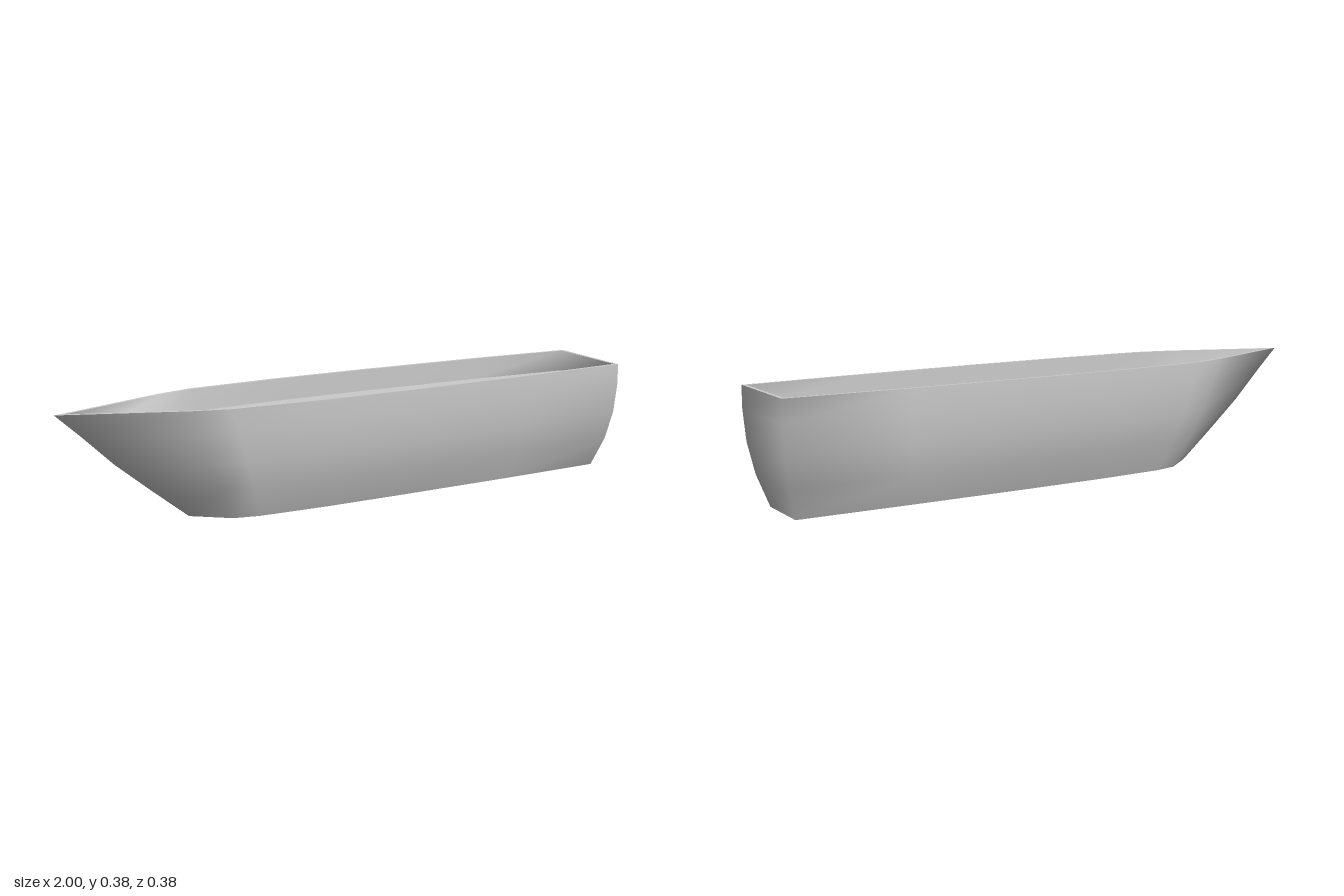
import * as THREE from 'three';

const FLOOR_Y = 0.3, RIM_Y = 0.375, WALL = 0.012;

// Half outlines [x, z] from bow tip to stern corner, at the keel and at the rim
const KEEL = [[-0.58, 0], [-0.465, 0.088], [-0.38, 0.106], [-0.15, 0.115], [0.15, 0.115], [0.55, 0.11], [0.945, 0.1]];
const RIM = [[-1, 0], [-0.62, 0.142], [-0.5, 0.174], [-0.2, 0.19], [0.15, 0.192], [0.6, 0.182], [1, 0.162]];

// Hull levels: height, progress of the raked bow, progress of the flared sides
const LEVELS = [[0, 0, 0], [0.1, 0.29, 0.56], [0.2, 0.57, 0.88], [FLOOR_Y, 0.81, 1], [RIM_Y, 1, 1]];

// Closed outline at one level, optionally inset by the wall thickness
function ring([y, bow, flare], inset = 0) {
  const mix = THREE.MathUtils.lerp;
  const half = KEEL.map(([kx, kz], i) => {
    const [rx, rz] = RIM[i];
    let x = mix(kx, rx, i < 4 ? bow : flare);
    let z = mix(kz, rz, flare);
    if (i === 0) x += inset * 2.8;
    else z -= inset;
    if (i === KEEL.length - 1) x -= inset;
    return new THREE.Vector3(x, y, z);
  });
  const mirrored = half.slice(1).reverse().map(p => new THREE.Vector3(p.x, p.y, -p.z));
  return [...half, ...mirrored];
}

function build(points, index) {
  const geometry = new THREE.BufferGeometry().setFromPoints(points);
  geometry.setIndex(index);
  geometry.computeVertexNormals();
  return geometry;
}

// Smooth skin through a stack of rings
function loft(rings) {
  const n = rings[0].length, index = [];
  for (let j = 0; j < rings.length - 1; j++) {
    for (let i = 0; i < n; i++) {
      const k = (i + 1) % n;
      const a = j * n + i, b = j * n + k, c = b + n, d = a + n;
      index.push(a, b, c, a, c, d);
    }
  }
  return build(rings.flat(), index);
}

// Flat fan closing a ring
function cap(points, up) {
  const n = points.length, index = [];
  for (let i = 0; i < n; i++) {
    const k = (i + 1) % n;
    index.push(n, up ? i : k, up ? k : i);
  }
  return build([...points, new THREE.Vector3(0, points[0].y, 0)], index);
}

export function createModel() {
  const model = new THREE.Group();
  model.name = 'boatHull';
  const material = new THREE.MeshStandardMaterial({ color: 0xcccccc, side: THREE.DoubleSide });
  const add = (name, geometry) => {
    const mesh = new THREE.Mesh(geometry, material);
    mesh.name = name;
    model.add(mesh);
  };

  const outer = LEVELS.map(level => ring(level));
  const innerRim = ring(LEVELS[4], WALL);
  const innerFloor = ring(LEVELS[3], WALL);

  add('hullSides', loft(outer));
  add('hullBottom', cap(outer[0], false));
  add('rim', loft([outer[4], innerRim]));
  add('bulwarkInside', loft([innerRim, innerFloor]));
  add('deck', cap(innerFloor, true));

  return model;
}
